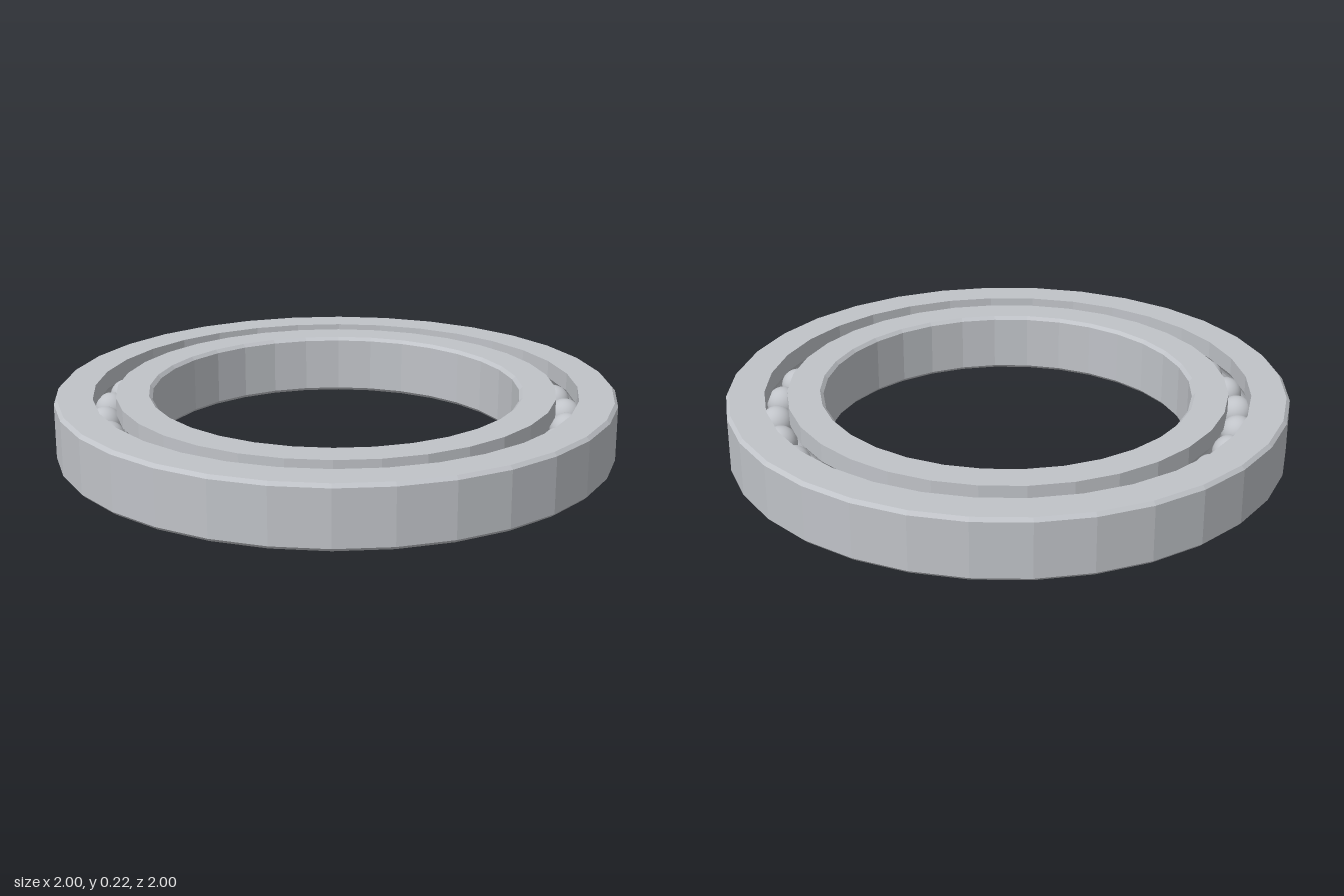
import * as THREE from 'three';

const HEIGHT = 0.22, MID = HEIGHT / 2, CHAMFER = 0.012;
const SEGMENTS = 32, BALLS = 31;
const PITCH = 0.825, BALL_R = 0.059, GROOVE_R = 0.0605, HALF_GAP = 0.04;

// Raceway arc around the ball centre; side +1 is the outer ring, -1 the inner ring
function groove(side) {
  const points = [], limit = Math.acos(HALF_GAP / GROOVE_R), steps = 8;
  for (let i = 0; i <= steps; i++) {
    const a = limit - (2 * limit * i) / steps;
    points.push([PITCH + side * GROOVE_R * Math.cos(a), MID + side * GROOVE_R * Math.sin(a)]);
  }
  return points;
}

// Faceted ring turned from a closed profile of [radius, height] pairs
function ring(name, profile, material) {
  const points = [...profile, profile[0]].map(([r, y]) => new THREE.Vector2(r, y));
  const geometry = new THREE.LatheGeometry(points, SEGMENTS).toNonIndexed();
  geometry.computeVertexNormals();
  const mesh = new THREE.Mesh(geometry, material);
  mesh.name = name;
  return mesh;
}

export function createModel() {
  const model = new THREE.Group();
  model.name = 'ballBearing';
  const steel = new THREE.MeshStandardMaterial({ color: 0xc0c3c8 });
  steel.name = 'steel grey';

  // Outer ring: chamfered rim, raceway on its inside
  const outerWall = PITCH + HALF_GAP;
  model.add(ring('outerRing', [
    [outerWall, 0], [1 - CHAMFER, 0], [1, CHAMFER],
    [1, HEIGHT - CHAMFER], [1 - CHAMFER, HEIGHT], [outerWall, HEIGHT],
    ...groove(1),
  ], steel));

  // Inner ring: chamfered bore, raceway on its outside
  const innerWall = PITCH - HALF_GAP, bore = 0.657;
  model.add(ring('innerRing', [
    [innerWall, 0], ...groove(-1), [innerWall, HEIGHT],
    [bore + CHAMFER, HEIGHT], [bore, HEIGHT - CHAMFER],
    [bore, CHAMFER], [bore + CHAMFER, 0],
  ], steel));

  // Balls spaced evenly in the race
  const balls = new THREE.Group();
  balls.name = 'balls';
  const ballGeometry = new THREE.SphereGeometry(BALL_R, 24, 16);
  for (let i = 0; i < BALLS; i++) {
    const a = (i / BALLS) * Math.PI * 2;
    const ball = new THREE.Mesh(ballGeometry, steel);
    ball.name = 'ball';
    ball.position.set(PITCH * Math.cos(a), MID, PITCH * Math.sin(a));
    balls.add(ball);
  }
  model.add(balls);
  return model;
}
